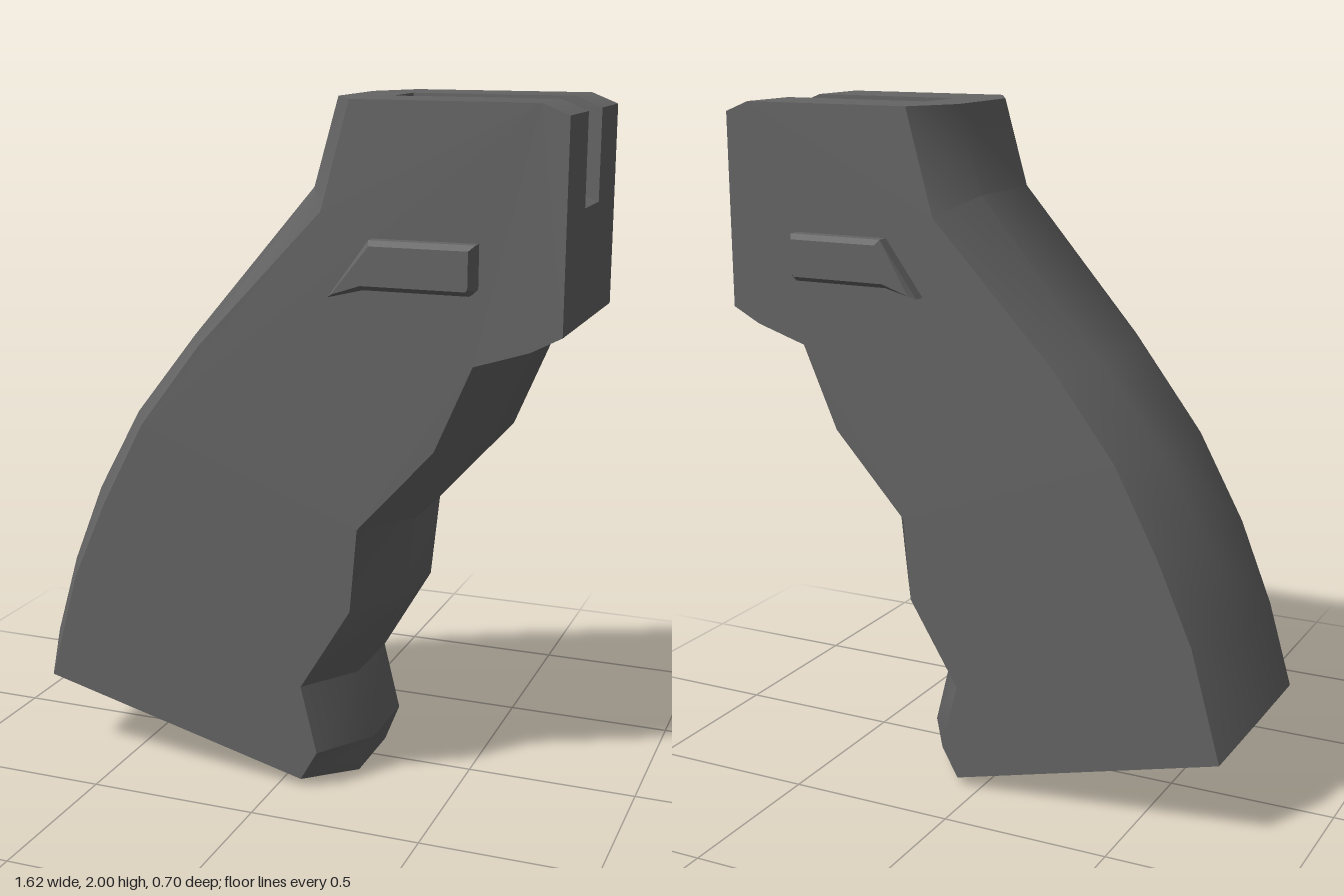
import * as THREE from 'three';
import { toCreasedNormals } from 'three/addons/utils/BufferGeometryUtils.js';

const W = 0.295;        // half width of the flat sides
const BACK_W = 0.145;   // half width of the back strip
const FRONT_W = 0.12;   // half width of the finger strip
const SLOT_W = 0.085;   // half width of the top slot

// Profiles [x, y] from bottom to top: side edge and centre strip
const backSide = [[-0.75, 0.24], [-0.66, 0.57], [-0.555, 0.81], [-0.425, 1.06], [-0.24, 1.305], [0.13, 1.7], [0.21, 2]];
const backMid = [[-0.81, 0.325], [-0.74, 0.57], [-0.645, 0.81], [-0.51, 1.06], [-0.32, 1.305], [0.055, 1.75], [0.125, 2]];
const frontSide = [[0.07, 0.03], [0.12, 0.12], [0.07, 0.32], [0.22, 0.57], [0.24, 0.815], [0.46, 1.06], [0.565, 1.305], [0.72, 1.355], [0.805, 1.4]];
const frontMid = [[0.19, 0.005], [0.235, 0.12], [0.185, 0.32], [0.33, 0.57], [0.355, 0.815], [0.575, 1.06], [0.68, 1.31], [0.72, 1.355], [0.805, 1.4]];

// Collects polygons, triangulated and turned to face the given direction
class Faces {
  positions = [];
  add(points, out) {
    const p = points.map(a => new THREE.Vector3(...a));
    const o = new THREE.Vector3(...out);
    const size = out.map(Math.abs);
    const drop = size.indexOf(Math.max(...size));
    const flat = points.map(a => new THREE.Vector2(...a.filter((_, i) => i !== drop)));
    for (const [i, j, k] of THREE.ShapeUtils.triangulateShape(flat, [])) {
      const n = p[j].clone().sub(p[i]).cross(p[k].clone().sub(p[i]));
      const order = n.dot(o) < 0 ? [i, k, j] : [i, j, k];
      for (const v of order) this.positions.push(p[v].x, p[v].y, p[v].z);
    }
  }
  // Wraps a strip around the back or front of the grip
  wrap(side, mid, midW, out) {
    for (let i = 0; i < side.length - 1; i++) {
      const bands = [[side, W, mid, midW, 1], [mid, midW, mid, -midW, 0], [mid, -midW, side, -W, -1]];
      for (const [a, za, b, zb, s] of bands) {
        this.add([[...a[i], za], [...b[i], zb], [...b[i + 1], zb], [...a[i + 1], za]],
          [out[0], out[1], out[2] * s]);
      }
    }
  }
  geometry() {
    const g = new THREE.BufferGeometry();
    g.setAttribute('position', new THREE.Float32BufferAttribute(this.positions, 3));
    return toCreasedNormals(g, 0.6);
  }
}

function gripGeometry() {
  const f = new Faces();
  const both = pts => [...pts.map(([x, z]) => [x, z]), ...pts.slice().reverse().map(([x, z]) => [x, -z])];

  // Flat sides
  const outline = [...frontSide, [0.805, 1.97], [0.73, 2], ...backSide.slice().reverse()];
  for (const s of [1, -1]) f.add(outline.map(([x, y]) => [x, y, W * s]), [0, 0, s]);

  // Rounded back and finger grooves
  f.wrap(backSide, backMid, BACK_W, [-1, 0.3, 0.5]);
  f.wrap(frontSide, frontMid, FRONT_W, [1, -0.4, 0.3]);

  // Slanted base and its small rear bevel
  const [bs, bm, fs, fm] = [backSide[0], backMid[0], frontSide[0], frontMid[0]];
  f.add([[...bs, W], [...fs, W], [...fm, FRONT_W], [...fm, -FRONT_W], [...fs, -W], [...bs, -W]], [-0.2, -1, 0]);
  f.add([[...bs, W], [...bm, BACK_W], [...bm, -BACK_W], [...bs, -W]], [-1, -0.5, 0]);

  // Top, front bevel and front face, all cut by the slot
  const top = both([[0.125, BACK_W], [0.21, W], [0.73, W], [0.73, SLOT_W], [0.265, SLOT_W]]);
  f.add(top.map(([x, z]) => [x, 2, z]), [0, 1, 0]);
  for (const s of [1, -1]) {
    f.add([[0.73, 2, SLOT_W * s], [0.73, 2, W * s], [0.805, 1.97, W * s], [0.805, 1.97, SLOT_W * s]], [0.3, 1, 0]);
  }
  const front = both([[1.4, W], [1.97, W], [1.97, SLOT_W], [1.715, SLOT_W]]);
  f.add(front.map(([y, z]) => [0.805, y, z]), [1, 0, 0]);

  // Slot walls, end and sloping floor
  const wall = [[0.265, 2], [0.265, 1.9], [0.805, 1.715], [0.805, 1.97], [0.73, 2]];
  for (const s of [1, -1]) f.add(wall.map(([x, y]) => [x, y, SLOT_W * s]), [0, 0, -s]);
  f.add([[0.265, 2, SLOT_W], [0.265, 2, -SLOT_W], [0.265, 1.9, -SLOT_W], [0.265, 1.9, SLOT_W]], [1, 0, 0]);
  f.add([[0.265, 1.9, SLOT_W], [0.265, 1.9, -SLOT_W], [0.805, 1.715, -SLOT_W], [0.805, 1.715, SLOT_W]], [0.3, 1, 0]);
  return f.geometry();
}

export function createModel() {
  const group = new THREE.Group();
  group.name = 'handGrip';
  const material = new THREE.MeshStandardMaterial({ color: 0x646464 });
  material.name = 'darkGrey';

  const grip = new THREE.Mesh(gripGeometry(), material);
  grip.name = 'gripBody';
  group.add(grip);

  // Bevelled raised tab on each side
  const tab = new THREE.Shape([[0.165, 1.475], [0.265, 1.5], [0.56, 1.5], [0.575, 1.515], [0.575, 1.635], [0.28, 1.635]]
    .map(p => new THREE.Vector2(...p)));
  const tabGeometry = new THREE.ExtrudeGeometry(tab, {
    depth: 0.04, bevelThickness: 0.02, bevelSize: 0.014, bevelOffset: -0.014, bevelSegments: 1,
  });
  for (const [name, z] of [['frontTab', 0.29], ['backTab', -0.33]]) {
    const mesh = new THREE.Mesh(tabGeometry, material);
    mesh.name = name;
    mesh.position.z = z;
    group.add(mesh);
  }
  return group;
}
